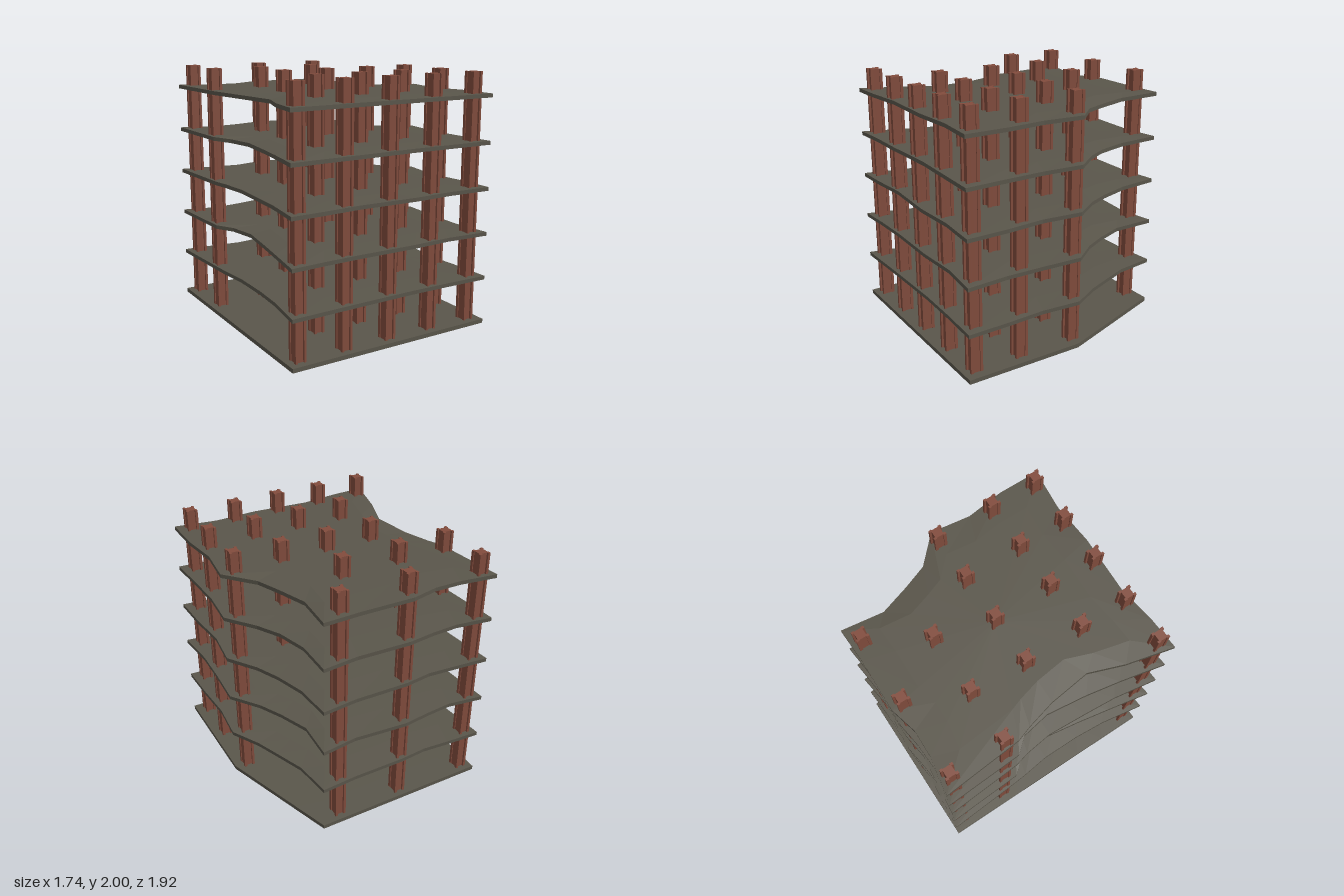
import * as THREE from 'three';

// Plan corners (x, z), clockwise from the back right corner of the plan
const CORNERS = [[-0.87, -0.96], [0.55, -0.96], [0.87, 0], [0.87, 0.96], [-0.87, 0.96]];
// Where each edge bends, as fractions of its length: back, cut, side, front, long side
const BENDS = [[0.2, 0.35, 0.5, 0.8], [0.3, 0.55, 0.75], [0.33, 0.65], [0.2, 0.4, 0.67, 0.85], [0.19, 0.33, 0.5, 0.62, 0.68]];
// How far each bend is set back, floor by floor
const FLOORS = [
  { top: 0.395, inset: [[0.02, 0.04, 0.02, 0.02], [0.07, 0.06, 0.05], [0.03, 0.01], [0.02, 0.03, 0.02, 0.01], [0.06, 0.08, 0.08, 0.05, 0.04]] },
  { top: 0.755, inset: [[0.05, 0.03, 0, 0.04], [0.13, 0.12, 0.09], [0.02, 0.03], [0.04, 0.02, 0.03, 0.02], [0.07, 0.12, 0.17, 0.13, 0.03]] },
  { top: 1.115, inset: [[0.03, 0.05, 0.02, 0.03], [0.09, 0.1, 0.08], [0.04, 0.01], [0.03, 0.01, 0.04, 0.01], [0.06, 0.08, 0.1, 0.07, 0.04]] },
  { top: 1.475, inset: [[0.05, 0.04, 0.01, 0.03], [0.12, 0.14, 0.1], [0.03, 0.02], [0.02, 0.04, 0.02, 0.02], [0.08, 0.13, 0.17, 0.13, 0.03]] },
  { top: 1.835, inset: [[0.05, 0.055, 0, 0.01], [0.14, 0.14, 0.13], [0.04, 0], [0.04, 0.02, 0.045, 0.01], [0.09, 0.19, 0.15, 0.09, 0.05]] },
];

// Bent outline: points [x, z, sag]
function outline(inset) {
  const points = [];
  CORNERS.forEach(([x0, z0], e) => {
    const [x1, z1] = CORNERS[(e + 1) % CORNERS.length];
    const dx = x1 - x0, dz = z1 - z0, len = Math.hypot(dx, dz);
    points.push([x0, z0, 0]);
    BENDS[e].forEach((t, k) => {
      const d = inset ? inset[e][k] : 0;
      points.push([x0 + dx * t - (dz / len) * d, z0 + dz * t + (dx / len) * d, Math.min(0.016, d * 0.12)]);
    });
  });
  return points;
}

// Slab lofted from rings: centre, inner top, rim, inner underside, centre
function slabGeometry(points, top, thickness) {
  const ring = (scale, y, sag) => points.map(([x, z, s]) => [x * scale, y - s * sag, z * scale]);
  const bottom = top - thickness;
  const rings = [ring(0, top, 0), ring(0.75, top, 0), ring(1, top, 1), ring(1, bottom, 1), ring(0.75, bottom, 0), ring(0, bottom, 0)];
  const pos = [], n = points.length;
  for (let r = 0; r < rings.length - 1; r++) {
    const a = rings[r], b = rings[r + 1];
    for (let i = 0; i < n; i++) {
      const j = (i + 1) % n;
      if (r > 0) pos.push(...a[i], ...a[j], ...b[j]);
      if (r < rings.length - 2) pos.push(...a[i], ...b[j], ...b[i]);
    }
  }
  const g = new THREE.BufferGeometry();
  g.setAttribute('position', new THREE.Float32BufferAttribute(pos, 3));
  g.computeVertexNormals();
  return g;
}

// Column section: a block with notches in all four faces
function columnGeometry(bottom, top) {
  const quarter = [[0.037, 0.027], [0.044, 0.027], [0.044, 0.05], [0.025, 0.05], [0.025, 0.034]];
  const flipped = [...quarter].reverse();
  const section = [
    ...quarter,
    ...flipped.map(([x, y]) => [-x, y]),
    ...quarter.map(([x, y]) => [-x, -y]),
    ...flipped.map(([x, y]) => [x, -y]),
  ].map(([x, y]) => new THREE.Vector2(x, y));
  const g = new THREE.ExtrudeGeometry(new THREE.Shape(section), { depth: top - bottom, bevelEnabled: false });
  g.rotateX(-Math.PI / 2);
  g.translate(0, bottom, 0);
  return g;
}

export function createModel() {
  const model = new THREE.Group();
  model.name = 'buildingFrame';

  const concrete = new THREE.MeshStandardMaterial({ color: 0x5a564b, flatShading: true });
  concrete.name = 'concrete';
  const steel = new THREE.MeshStandardMaterial({ color: 0x824c3d, flatShading: true });
  steel.name = 'rustySteel';

  // Ground slab
  const base = new THREE.Mesh(slabGeometry(outline(), 0.033, 0.033), concrete);
  base.name = 'groundSlab';
  model.add(base);

  // Ragged upper floors
  FLOORS.forEach(({ top, inset }, i) => {
    const floor = new THREE.Mesh(slabGeometry(outline(inset), top, 0.03), concrete);
    floor.name = `floorSlab${i + 1}`;
    model.add(floor);
  });

  // Columns, row by row from back to front
  const rows = [
    { z: -0.87, xs: [-0.775, -0.165, 0.38] },
    { z: -0.44, xs: [-0.775, -0.365, 0.115] },
    { z: 0, xs: [-0.39, -0.005, 0.38, 0.76] },
    { z: 0.475, xs: [-0.39, -0.005, 0.38, 0.76] },
    { z: 0.862, xs: [-0.775, -0.39, -0.005, 0.38, 0.76] },
  ];
  const columns = new THREE.Group();
  columns.name = 'columns';
  const geometry = columnGeometry(0.03, 2);
  for (const { z, xs } of rows) {
    for (const x of xs) {
      const column = new THREE.Mesh(geometry, steel);
      column.name = 'column';
      column.position.set(x, 0, z);
      columns.add(column);
    }
  }
  model.add(columns);

  return model;
}
